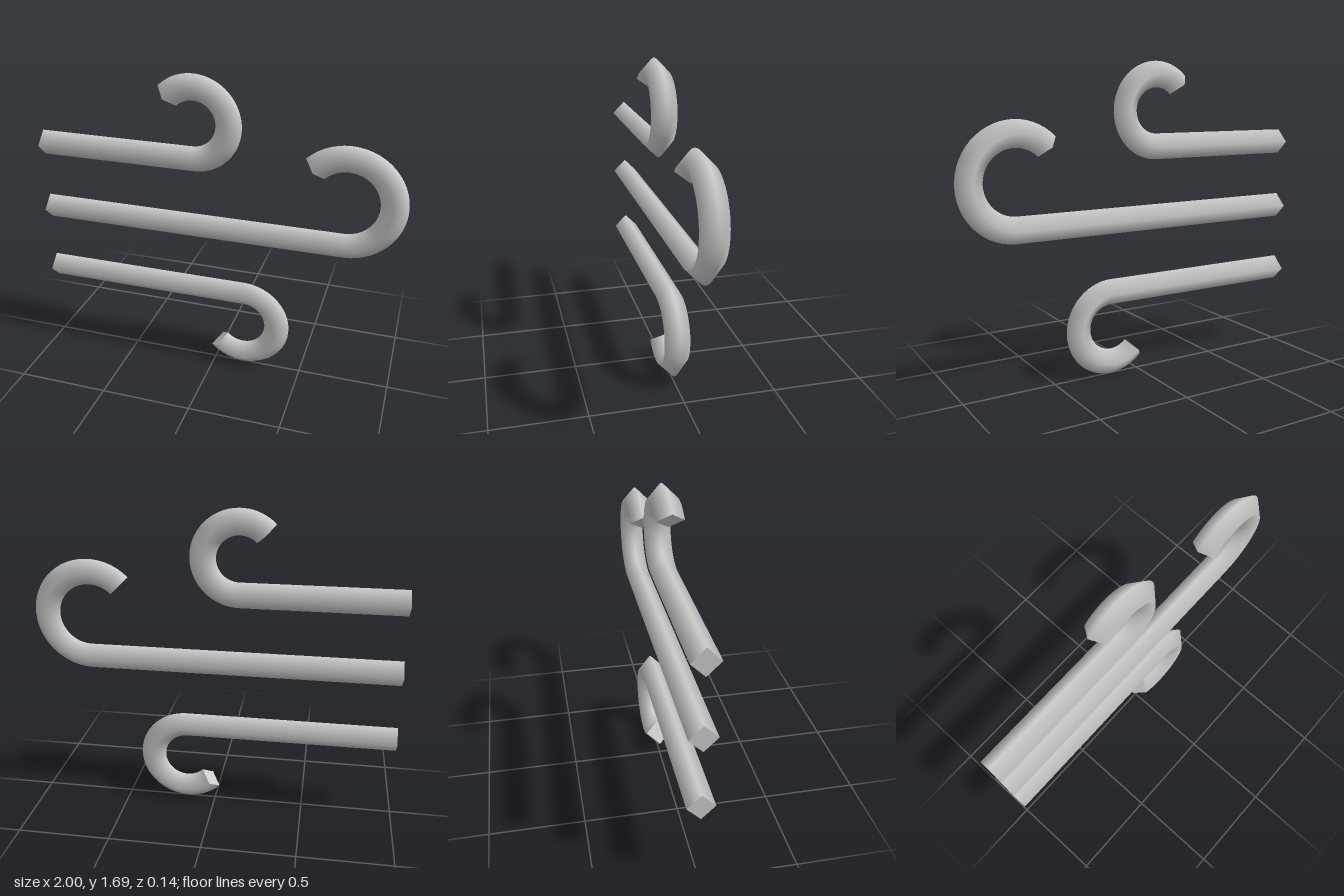
import * as THREE from 'three';

const RADIUS = 0.07;
const SWEEP = Math.PI * 1.25;

// Straight run along x from -1, ending in a 225 degree curl (dir 1 = up, -1 = down)
class GustCurve extends THREE.Curve {
  constructor(y, endX, bend, dir) {
    super();
    Object.assign(this, { y, endX, bend, dir });
  }
  getPoint(t, target = new THREE.Vector3()) {
    const line = this.endX + 1;
    const s = t * (line + this.bend * SWEEP);
    if (s <= line) return target.set(-1 + s, this.y, 0);
    const a = (s - line) / this.bend;
    return target.set(
      this.endX + this.bend * Math.sin(a),
      this.y + this.dir * this.bend * (1 - Math.cos(a)),
      0
    );
  }
}

export function createModel() {
  const model = new THREE.Group();
  model.name = 'windSymbol';
  const grey = new THREE.MeshStandardMaterial({ color: 0xcccccc });
  grey.name = 'light grey';

  function addGust(name, y, endX, bend, dir) {
    const gust = new THREE.Group();
    gust.name = name;
    const add = (part, geometry) => {
      const mesh = new THREE.Mesh(geometry, grey);
      mesh.name = part;
      gust.add(mesh);
    };
    const curve = new GustCurve(y, endX, bend, dir);

    // Four-sided, smooth-shaded tube
    add('tube', new THREE.TubeGeometry(curve, 96, RADIUS, 4, false));

    // Flat diamond caps at both ends
    const tail = new THREE.CircleGeometry(RADIUS, 4);
    tail.rotateY(-Math.PI / 2).translate(-1, y, 0);
    add('tailCap', tail);

    const tip = curve.getPoint(1);
    const curl = new THREE.CircleGeometry(RADIUS, 4);
    curl.rotateY(Math.PI / 2).rotateZ(dir * SWEEP).translate(tip.x, tip.y, 0);
    add('curlCap', curl);

    model.add(gust);
  }

  addGust('upperGust', 1.235, -0.127, 0.193, 1);
  addGust('middleGust', 0.848, 0.69, 0.24, 1);
  addGust('lowerGust', 0.46, 0.162, 0.195, -1);

  return model;
}
